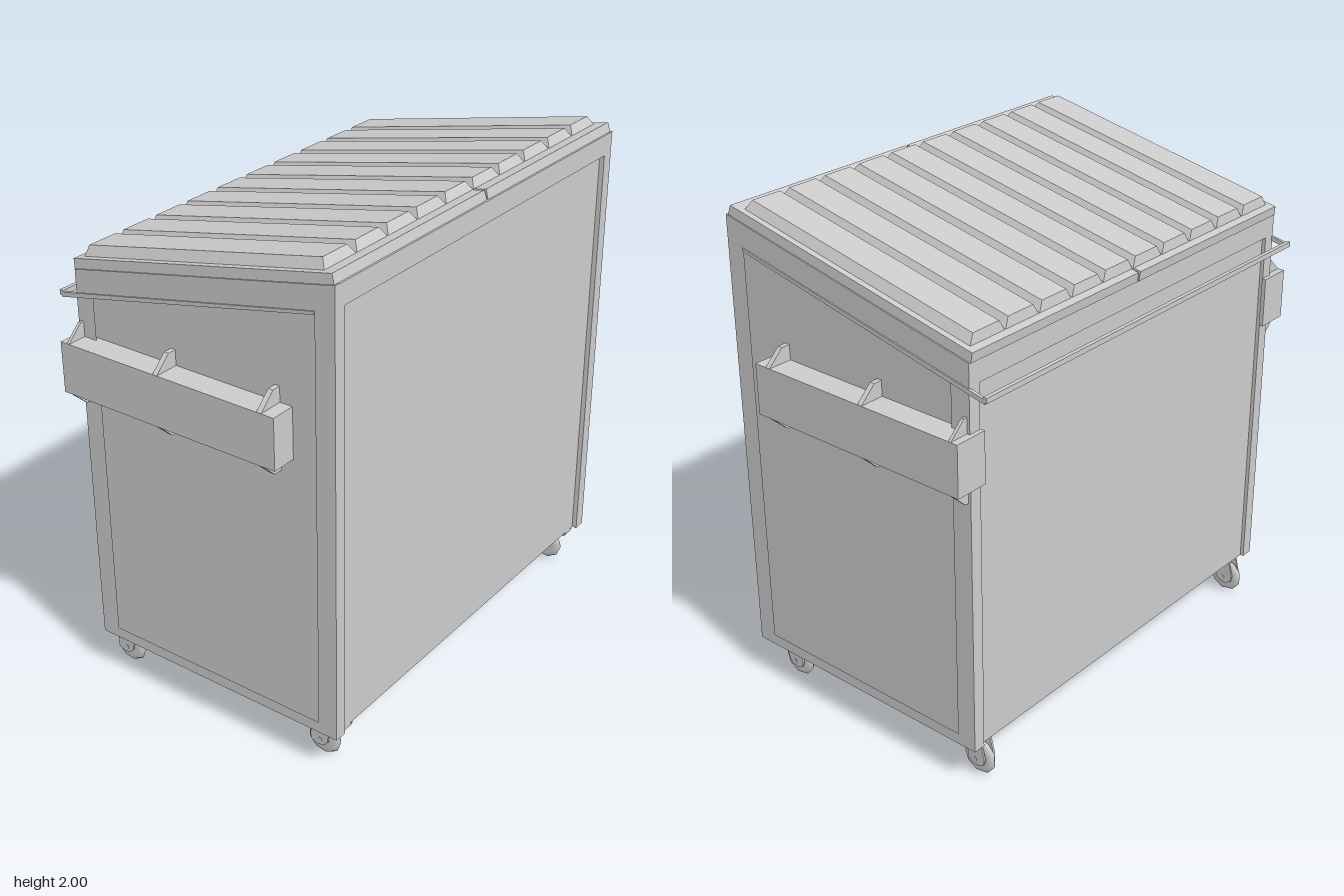
import * as THREE from 'three';

const SLOPE = 0.208;
const topY = (z) => 1.815 + SLOPE * z; // height of the slanted rim
const material = new THREE.MeshStandardMaterial({ color: 0xcccccc, flatShading: true });
const smooth = new THREE.MeshStandardMaterial({ color: 0xcccccc });

function add(parent, name, geometry, x = 0, y = 0, z = 0, mat = material) {
  const mesh = new THREE.Mesh(geometry, mat);
  mesh.name = name;
  mesh.position.set(x, y, z);
  parent.add(mesh);
  return mesh;
}

// Box given by its limits
function block(parent, name, x0, x1, y0, y1, z0, z1) {
  return add(parent, name, new THREE.BoxGeometry(x1 - x0, y1 - y0, z1 - z0),
    (x0 + x1) / 2, (y0 + y1) / 2, (z0 + z1) / 2);
}

const points = (list) => list.map(([a, b]) => new THREE.Vector2(a, b));

function plate(outline, depth, hole) {
  const shape = new THREE.Shape(points(outline));
  if (hole) shape.holes.push(new THREE.Path(points(hole)));
  return new THREE.ExtrudeGeometry(shape, { depth, bevelEnabled: false });
}

// Plate drawn in (z, y), running in x from x0 to x0 + depth
function sidePlate(outline, x0, depth, hole) {
  const flip = (list) => list && list.map(([z, y]) => [-z, y]);
  return plate(flip(outline), depth, flip(hole)).rotateY(Math.PI / 2).translate(x0, 0, 0);
}

// Box whose upper face is drawn in on all sides
function frustum(w, h, d, insetX, insetZ) {
  const g = new THREE.BoxGeometry(w, h, d).translate(0, h / 2, 0);
  const p = g.attributes.position;
  for (let i = 0; i < p.count; i++) {
    if (p.getY(i) > h / 2) {
      p.setX(i, p.getX(i) - Math.sign(p.getX(i)) * insetX);
      p.setZ(i, p.getZ(i) - Math.sign(p.getZ(i)) * insetZ);
    }
  }
  g.computeVertexNormals();
  return g;
}

function buildBody() {
  const body = new THREE.Group();
  body.name = 'body';
  const outline = (z0, z1) => [[z0, 0.165], [z1, 0.165], [z1, topY(z1)], [z0, topY(z0)]];

  // Recessed sheets, open at the bottom
  block(body, 'frontPanel', -0.875, 0.875, 0.165, 1.932, 0.57, 0.58);
  block(body, 'backPanel', -0.875, 0.875, 0.165, 1.705, -0.515, -0.505);

  // Raised frames on the front and back: two posts and a top rail
  const frame = (top, rail) => plate([
    [-0.895, 0.165], [-0.845, 0.165], [-0.845, rail], [0.845, rail],
    [0.845, 0.165], [0.895, 0.165], [0.895, top], [-0.895, top]], 0.02);
  add(body, 'frontFrame', frame(1.938, 1.855), 0, 0, 0.58);
  add(body, 'backFrame', frame(1.705, 1.62), 0, 0, -0.53);

  for (const s of [1, -1]) {
    add(body, 'sidePanel', sidePlate(outline(-0.515, 0.58), s * 0.87 - 0.005, 0.01));
    add(body, 'sideFrame', sidePlate(outline(-0.53, 0.6), s * 0.885 - 0.01, 0.02, [
      [-0.45, 0.21], [0.52, 0.21], [0.52, topY(0.52) - 0.095], [-0.45, topY(-0.45) - 0.095]]));
  }
  return body;
}

function buildLid() {
  const lid = new THREE.Group();
  lid.name = 'lid';
  lid.position.set(0, topY(0.0325), 0.0325);
  lid.rotation.x = -Math.atan(SLOPE);
  for (const s of [1, -1]) {
    add(lid, 'lidSlab', frustum(0.887, 0.037, 1.152, 0.003, 0.003), s * 0.4465, 0, -0.003);
    // Five raised ribs on each half
    for (let i = 0; i < 5; i++) {
      add(lid, 'lidRib', frustum(0.168, 0.036, 1.066, 0.02, 0.014), s * (0.0865 + i * 0.173), 0.037, -0.012);
    }
  }
  return lid;
}

// Rod that runs along both sides and around the back
function buildHingeBar() {
  const bar = new THREE.Group();
  bar.name = 'hingeBar';
  const y = (z) => topY(z) - 0.09;
  for (const s of [1, -1]) {
    add(bar, 'sideArm', sidePlate([
      [-0.6, y(-0.6) - 0.018], [0.52, y(0.52) - 0.012], [0.52, y(0.52)], [-0.6, y(-0.6)]], s * 0.894 - 0.006, 0.012));
  }
  block(bar, 'backRod', -0.9, 0.9, 1.588, 1.608, -0.609, -0.593);
  return bar;
}

// Fork pocket with gussets, for the +x side
function buildPocket() {
  const pocket = new THREE.Group();
  block(pocket, 'pocketTube', 0.875, 0.975, 1.25, 1.45, -0.53, 0.41);
  block(pocket, 'pocketBackPlate', 0.84, 0.975, 1.25, 1.45, -0.547, -0.53);
  for (const [z, t] of [[0.348, 0.02], [-0.105, 0.02], [-0.513, 0.012]]) {
    add(pocket, 'gusset', plate([[0.87, 1.19], [0.91, 1.19], [0.974, 1.25],
      [0.974, 1.45], [0.91, 1.51], [0.87, 1.51]], t), 0, 0, z - t / 2);
  }
  return pocket;
}

function buildCaster() {
  const caster = new THREE.Group();
  caster.name = 'caster';
  // Fork cheeks lean back to the axle
  for (const s of [1, -1]) {
    add(caster, 'fork', sidePlate([[0.105, 0.165], [0.035, 0.095], [0.032, 0.07], [0.015, 0.052],
      [-0.015, 0.048], [-0.04, 0.06], [-0.045, 0.085], [-0.025, 0.165]], s * 0.026 - 0.004, 0.008));
  }
  block(caster, 'forkTop', -0.03, 0.03, 0.152, 0.166, -0.025, 0.1);
  const profile = points([[0, -0.016], [0.05, -0.016], [0.066, -0.01], [0.073, 0],
    [0.066, 0.01], [0.05, 0.016], [0, 0.016]]);
  const wheel = add(caster, 'wheel', new THREE.LatheGeometry(profile, 9), 0, 0.072, 0, smooth);
  wheel.rotation.z = Math.PI / 2;
  const axle = add(caster, 'axle', new THREE.CylinderGeometry(0.01, 0.01, 0.064, 8), 0, 0.072, 0);
  axle.rotation.z = Math.PI / 2;
  return caster;
}

export function createModel() {
  const model = new THREE.Group();
  model.name = 'wasteContainer';
  model.add(buildBody(), buildLid(), buildHingeBar());

  const leftPocket = buildPocket();
  leftPocket.name = 'leftForkPocket';
  const rightPocket = buildPocket();
  rightPocket.name = 'rightForkPocket';
  rightPocket.scale.x = -1;
  model.add(leftPocket, rightPocket);

  for (const x of [0.805, -0.805]) {
    for (const z of [0.48, -0.475]) {
      const caster = buildCaster();
      caster.position.set(x, 0, z);
      model.add(caster);
    }
  }
  return model;
}
